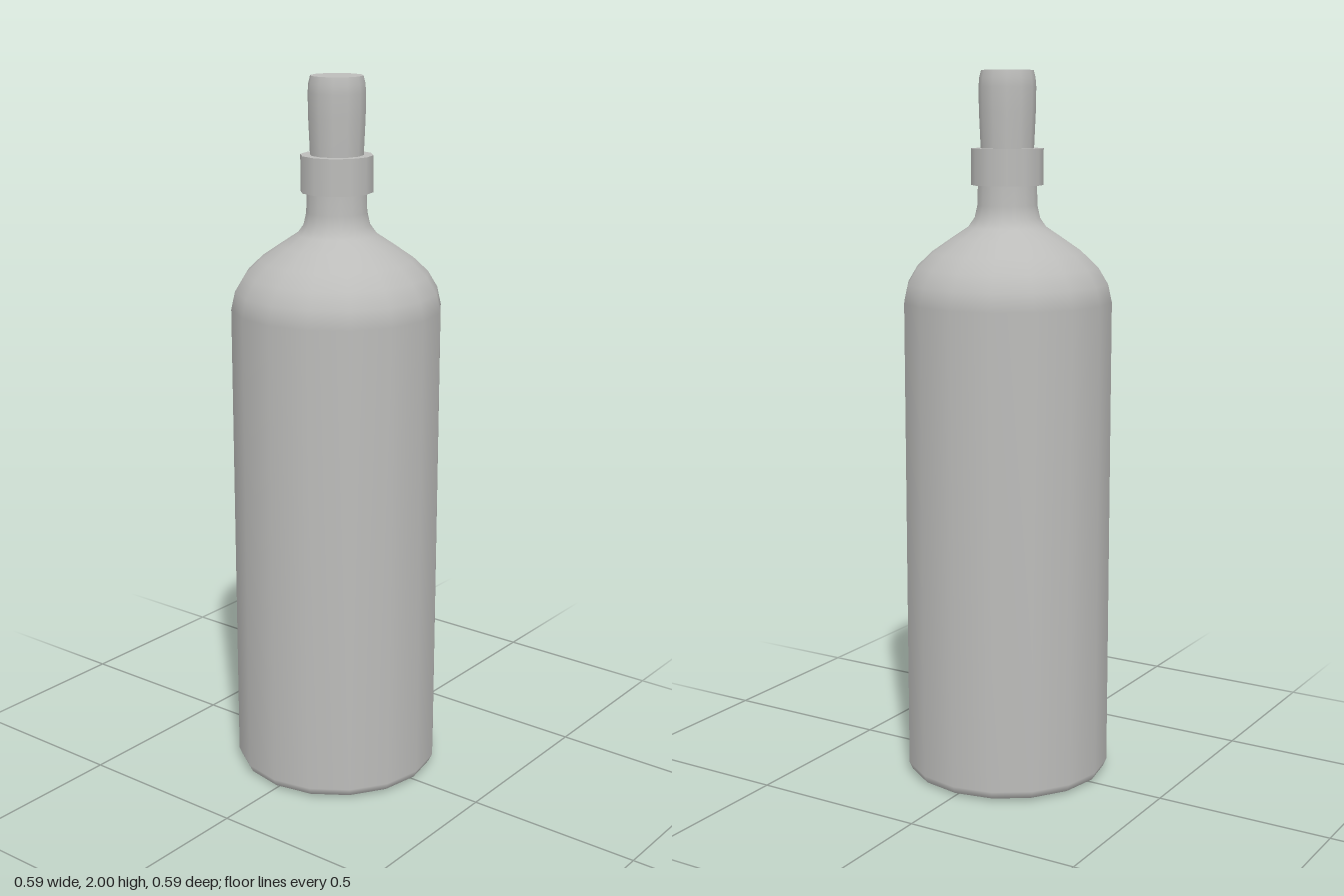
import * as THREE from 'three';

const grey = new THREE.MeshStandardMaterial({ color: 0xbcbcba });
grey.name = 'grey';

// Turned part from [radius, height] pairs, running bottom to top
function turned(name, sides, profile) {
  const points = profile.map(([r, y]) => new THREE.Vector2(r, y));
  const mesh = new THREE.Mesh(new THREE.LatheGeometry(points, sides), grey);
  mesh.name = name;
  return mesh;
}

// Flat disc or ring facing up, or down when flipped
function flat(name, sides, inner, outer, y, down = false) {
  const geometry = inner > 0
    ? new THREE.RingGeometry(inner, outer, sides)
    : new THREE.CircleGeometry(outer, sides);
  geometry.rotateX(down ? Math.PI / 2 : -Math.PI / 2).translate(0, y, 0);
  const mesh = new THREE.Mesh(geometry, grey);
  mesh.name = name;
  return mesh;
}

export function createModel() {
  const bottle = new THREE.Group();
  bottle.name = 'bottle';

  // Body with rounded base, shoulder and neck
  bottle.add(turned('body', 16, [
    [0, 0], [0.265, 0], [0.283, 0.008], [0.293, 0.03],
    [0.293, 1.37], [0.282, 1.42], [0.255, 1.465], [0.213, 1.505],
    [0.155, 1.545], [0.11, 1.575], [0.092, 1.6], [0.084, 1.635], [0.082, 1.72],
  ]));

  // Collar around the mouth
  bottle.add(turned('collar', 12, [[0.1, 1.69], [0.1, 1.79]]));
  bottle.add(flat('collarTop', 12, 0.06, 0.1, 1.79));
  bottle.add(flat('collarUnderside', 12, 0.06, 0.1, 1.69, true));

  // Stopper, slightly wider near its bevelled top
  bottle.add(turned('stopper', 12, [
    [0.073, 1.78], [0.078, 1.89], [0.079, 1.955], [0.077, 1.98], [0.072, 2],
  ]));
  bottle.add(flat('stopperTop', 12, 0, 0.072, 2));

  return bottle;
}
